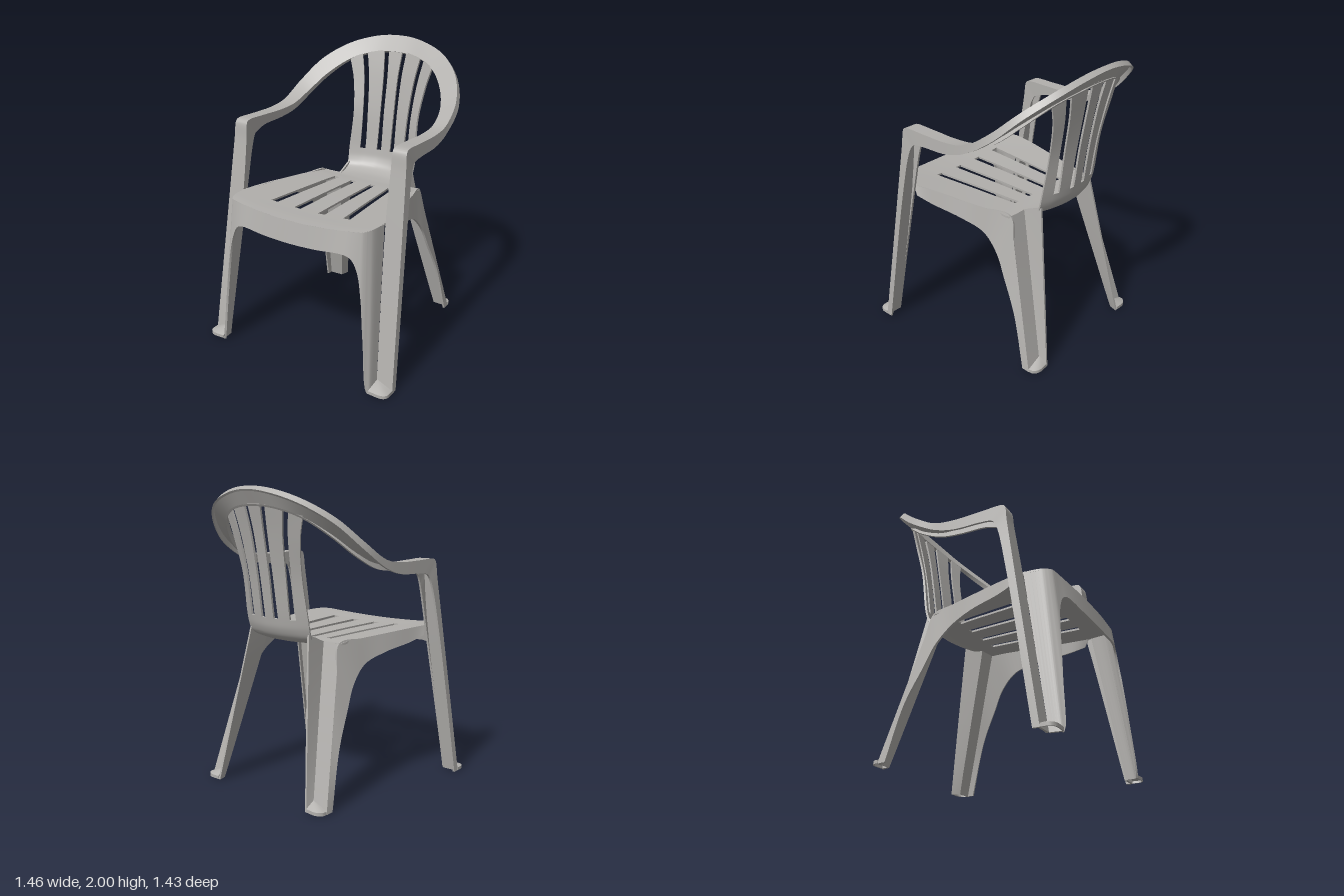
import * as THREE from 'three';
import { toCreasedNormals } from 'three/addons/utils/BufferGeometryUtils.js';

const plastic = new THREE.MeshStandardMaterial({ color: 0xb2b0ad, side: THREE.DoubleSide });
plastic.name = 'grey plastic';

// Mirror a half rail that ends on x = 0 into a full left-to-right rail
const full = (pts) => pts.concat(pts.slice(0, -1).reverse().map(([x, y, z]) => [-x, y, z]));

// Moulded plate: a ruled sheet between neighbouring rails, thickened inwards
function plate(rails, perSegment, skip = () => false, thickness = 0.014) {
  const n = (rails[0].length - 1) * perSegment;
  const pos = [], tris = [];
  for (const rail of rails) {
    const curve = new THREE.CatmullRomCurve3(rail.map((p) => new THREE.Vector3(...p)), false, 'centripetal');
    for (let j = 0; j <= n; j++) pos.push(...curve.getPoint(j / n).toArray());
  }
  for (let i = 0; i < rails.length - 1; i++) {
    for (let j = 0; j < n; j++) {
      if (skip(i, j / perSegment)) continue;
      const a = i * (n + 1) + j, b = a + n + 1;
      tris.push([a, b, a + 1], [b, b + 1, a + 1]);
    }
  }
  const geo = new THREE.BufferGeometry();
  geo.setAttribute('position', new THREE.Float32BufferAttribute(pos, 3));
  geo.setIndex(tris.flat());
  geo.computeVertexNormals();
  const normal = geo.attributes.normal.array;
  const count = pos.length / 3;
  const all = pos.concat(pos.map((v, k) => v - normal[k] * thickness));

  // back face, and walls along the open edges
  const edges = new Set();
  for (const t of tris) t.forEach((a, k) => edges.add(a + '_' + t[(k + 1) % 3]));
  const index = tris.flat();
  for (const t of tris) {
    index.push(t[0] + count, t[2] + count, t[1] + count);
    t.forEach((a, k) => {
      const b = t[(k + 1) % 3];
      if (!edges.has(b + '_' + a)) index.push(b, a, a + count, b, a + count, b + count);
    });
  }
  const solid = new THREE.BufferGeometry();
  solid.setAttribute('position', new THREE.Float32BufferAttribute(all, 3));
  solid.setIndex(index);
  return toCreasedNormals(solid, 0.6);
}

export function createModel() {
  const chair = new THREE.Group();
  chair.name = 'stackingGardenChair';
  const add = (name, geometry) => {
    const mesh = new THREE.Mesh(geometry, plastic);
    mesh.name = name;
    chair.add(mesh);
    return mesh;
  };
  const addPair = (name, geometry) => {
    add(name + 'Left', geometry);
    add(name + 'Right', geometry).scale.x = -1;
  };

  // Seat and back in one shell. Each row runs across the chair, front to top:
  // centre y, z, edge y, z, then half widths: seat edge, back edge, slot edges
  const rows = [
    [1.035, 0.675, 1.06, 0.635, 0.50, 0.38, 0.32, 0.27, 0.12, 0.07],
    [1.035, 0.60, 1.065, 0.585, 0.535, 0.38, 0.32, 0.27, 0.123, 0.072],
    [1.03, 0.47, 1.065, 0.46, 0.55, 0.37, 0.31, 0.26, 0.12, 0.07],
    [1.025, 0.15, 1.05, 0.15, 0.50, 0.33, 0.28, 0.235, 0.11, 0.066],
    [1.015, -0.20, 1.03, -0.20, 0.42, 0.285, 0.245, 0.205, 0.10, 0.06],
    [1.012, -0.30, 1.02, -0.30, 0.40, 0.27, 0.225, 0.185, 0.095, 0.055],
    [1.02, -0.40, 1.03, -0.37, 0.27, 0.27, 0.215, 0.175, 0.085, 0.048],
    [1.05, -0.465, 1.055, -0.41, 0.27, 0.27, 0.21, 0.17, 0.08, 0.042],
    [1.10, -0.495, 1.10, -0.43, 0.273, 0.273, 0.205, 0.165, 0.076, 0.04],
    [1.17, -0.51, 1.17, -0.445, 0.275, 0.275, 0.20, 0.16, 0.073, 0.037],
    [1.45, -0.55, 1.45, -0.49, 0.265, 0.265, 0.20, 0.165, 0.07, 0.04],
    [1.72, -0.597, 1.68, -0.535, 0.295, 0.295, 0.22, 0.185, 0.075, 0.042],
    [1.90, -0.637, 1.825, -0.553, 0.335, 0.335, 0.25, 0.215, 0.09, 0.055],
  ];
  const rail = (column, side) => rows.map((r) => {
    const f = (r[column] / r[4]) ** 2;
    return [side * r[column], r[0] + (r[2] - r[0]) * f, r[1] + (r[3] - r[1]) * f];
  });
  const columns = [4, 5, 6, 7, 8, 9];
  const shellRails = [...columns.map((c) => rail(c, -1)), ...columns.reverse().map((c) => rail(c, 1))];
  add('seatAndBack', plate(shellRails, 6, (strip, row) => {
    if (strip === 0 || strip === 10) return row >= 5;
    return strip % 2 === 0 && ((row >= 2 && row < 4) || row >= 9);
  }));

  // Hoop, armrests and the outer face of the front legs: one bent channel
  const inner = [
    [0.615, 0, 0.63], [0.56, 1.05, 0.458], [0.558, 1.40, 0.402], [0.56, 1.515, 0.385], [0.56, 1.53, 0.365],
    [0.56, 1.53, 0.2], [0.56, 1.525, 0], [0.555, 1.54, -0.15], [0.53, 1.61, -0.30],
    [0.46, 1.715, -0.43], [0.33, 1.82, -0.55], [0.17, 1.875, -0.615], [0, 1.89, -0.63],
  ];
  const outer = [
    [0.73, 0, 0.63], [0.68, 1.05, 0.458], [0.662, 1.40, 0.402], [0.656, 1.515, 0.385], [0.655, 1.53, 0.365],
    [0.655, 1.53, 0.2], [0.655, 1.53, 0], [0.652, 1.555, -0.15], [0.63, 1.665, -0.33],
    [0.54, 1.81, -0.49], [0.38, 1.92, -0.61], [0.17, 1.985, -0.67], [0, 2, -0.685],
  ];
  const outerLip = [
    [0.73, 0, 0.585], [0.685, 1.02, 0.41], [0.666, 1.36, 0.335], [0.66, 1.42, 0.305], [0.66, 1.435, 0.28],
    [0.66, 1.445, 0.2], [0.66, 1.455, 0], [0.657, 1.50, -0.15], [0.64, 1.625, -0.355],
    [0.55, 1.775, -0.515], [0.39, 1.89, -0.637], [0.175, 1.96, -0.70], [0, 1.98, -0.715],
  ];
  const innerLip = [
    [0.615, 0, 0.612], [0.562, 1.02, 0.42], [0.558, 1.36, 0.335], [0.56, 1.42, 0.305], [0.56, 1.435, 0.28],
    [0.56, 1.46, 0.2], [0.56, 1.47, 0], [0.556, 1.495, -0.15], [0.533, 1.58, -0.32],
    [0.465, 1.69, -0.45], [0.335, 1.805, -0.57], [0.172, 1.862, -0.635], [0, 1.877, -0.65],
  ];
  add('hoopArmsAndFrontLegs', plate([innerLip, inner, outer, outerLip].map(full), 6));

  // Front apron, running round the seat corners and down into the front legs
  const apronTop = [
    [0.555, 1.065, 0.458], [0.54, 1.065, 0.57], [0.53, 1.063, 0.60], [0.52, 1.062, 0.615], [0.505, 1.06, 0.632],
    [0.49, 1.058, 0.638], [0.45, 1.055, 0.644], [0.40, 1.051, 0.65], [0.20, 1.039, 0.67], [0, 1.035, 0.676],
  ];
  const apronBottom = [
    [0.615, 0, 0.63], [0.605, 0, 0.70], [0.594, 0, 0.712], [0.557, 0.33, 0.70], [0.52, 0.65, 0.68],
    [0.49, 0.80, 0.67], [0.45, 0.88, 0.672], [0.40, 0.905, 0.68], [0.20, 0.895, 0.695], [0, 0.89, 0.70],
  ];
  add('frontApron', plate([apronBottom, apronTop].map(full), 5));

  // Side aprons sweeping back and down into the rear legs
  const sideTop = [
    [0.552, 1.065, 0.44], [0.53, 1.06, 0.30], [0.485, 1.047, 0.08], [0.44, 1.035, -0.12],
    [0.40, 1.02, -0.30], [0.423, 0.85, -0.346], [0.471, 0.50, -0.44], [0.54, 0, -0.575],
  ];
  const sideBottom = [
    [0.565, 1.0, 0.40], [0.54, 0.965, 0.28], [0.50, 0.925, 0.05], [0.465, 0.865, -0.12],
    [0.468, 0.75, -0.235], [0.482, 0.60, -0.31], [0.508, 0.37, -0.42], [0.54, 0, -0.52],
  ];
  addPair('sideApron', plate([sideTop, sideBottom], 6));

  // Rear legs: an angle section open to the back and outside
  addPair('rearLeg', plate([
    [[0.27, 1.08, -0.44], [0.42, 0, -0.63]],
    [[0.268, 1.018, -0.30], [0.43, 0, -0.58]],
    [[0.40, 1.018, -0.30], [0.54, 0, -0.575]],
  ], 8));

  // Feet: small sloped gussets closing the bottom of each leg angle
  const foot = (apex, rim) => plate([
    rim.map(() => apex),
    rim.map(([x, z]) => [x, 0.022, z]),
    rim.map(([x, z]) => [x, 0, z]),
  ], 4, undefined, 0.008);
  addPair('frontFoot', foot([0.617, 0.065, 0.625], [[0.6, 0.712], [0.695, 0.712], [0.725, 0.69], [0.73, 0.63]]));
  addPair('rearFoot', foot([0.43, 0.065, -0.575], [[0.54, -0.575], [0.535, -0.605], [0.5, -0.632], [0.42, -0.632]]));

  return chair;
}
